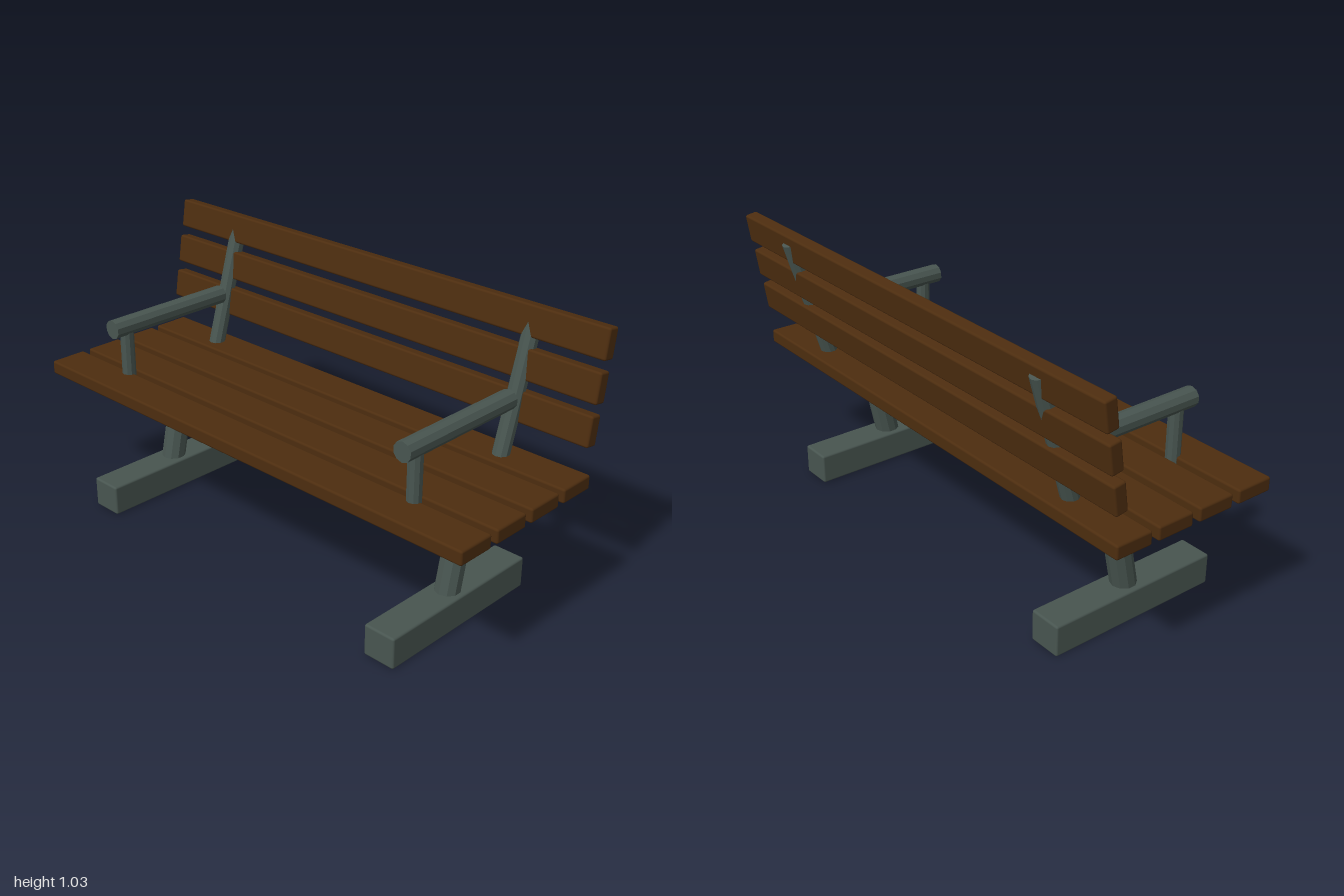
import * as THREE from 'three';
import { RoundedBoxGeometry } from 'three/addons/geometries/RoundedBoxGeometry.js';

export function createModel() {
  const wood = new THREE.MeshStandardMaterial({ color: 0x4d2d0f });
  wood.name = 'brown wood';
  const metal = new THREE.MeshStandardMaterial({ color: 0x485550 });
  metal.name = 'grey green metal';

  const model = new THREE.Group();
  model.name = 'parkBench';

  // Softly bevelled block
  function block(name, parent, material, size, pos, tilt = 0) {
    const mesh = new THREE.Mesh(new RoundedBoxGeometry(...size, 2, 0.008), material);
    mesh.name = name;
    mesh.position.set(...pos);
    mesh.rotation.x = tilt;
    parent.add(mesh);
  }

  // Faceted bar between two points, given as [y, z], in the plane of a side frame
  function bar(name, parent, radius, [y0, z0], [y1, z1]) {
    const a = new THREE.Vector3(0, y0, z0);
    const b = new THREE.Vector3(0, y1, z1);
    const geometry = new THREE.CylinderGeometry(radius, radius, a.distanceTo(b), 10).toNonIndexed();
    geometry.computeVertexNormals();
    const mesh = new THREE.Mesh(geometry, metal);
    mesh.name = name;
    mesh.position.copy(a).add(b).multiplyScalar(0.5);
    mesh.rotation.x = Math.atan2(z1 - z0, y1 - y0);
    parent.add(mesh);
  }

  // Seat: four flat slats
  for (const z of [0.298, 0.125, -0.049, -0.221]) {
    block('seatSlat', model, wood, [2, 0.052, 0.145], [0, 0.509, z]);
  }

  // Backrest: three slats leaning back
  for (const [y, z] of [[0.691, -0.287], [0.833, -0.312], [0.975, -0.338]]) {
    block('backSlat', model, wood, [2, 0.108, 0.049], [0, y, z], -0.15);
  }

  // Side frames, mirrored left and right
  for (const side of [1, -1]) {
    const frame = new THREE.Group();
    frame.name = side > 0 ? 'leftFrame' : 'rightFrame';
    frame.position.x = 0.702 * side;
    block('foot', frame, metal, [0.125, 0.117, 0.688], [0, 0.0585, 0.037]);
    bar('leg', frame, 0.046, [0.08, 0.044], [0.5, -0.046]);
    bar('backPost', frame, 0.031, [0.456, -0.191], [0.993, -0.351]);
    bar('armPost', frame, 0.026, [0.482, 0.232], [0.72, 0.232]);
    bar('armrest', frame, 0.036, [0.726, 0.298], [0.726, -0.236]);
    model.add(frame);
  }
  return model;
}
